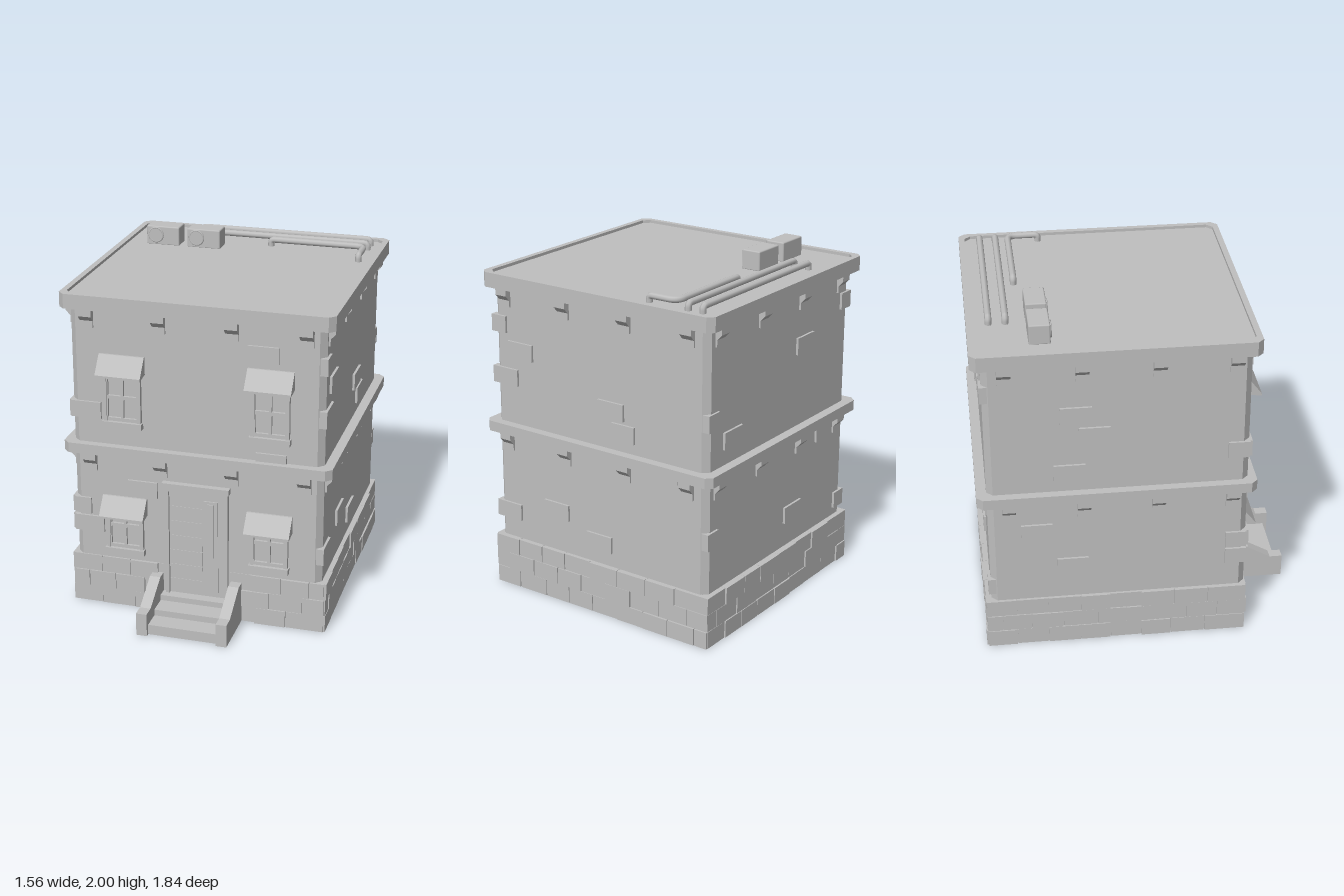
import * as THREE from 'three';
import { RoundedBoxGeometry } from 'three/addons/geometries/RoundedBoxGeometry.js';

const stone = new THREE.MeshStandardMaterial({ color: 0xbfbfbf });
stone.name = 'pale grey';

function add(parent, name, geometry, x = 0, y = 0, z = 0) {
  const mesh = new THREE.Mesh(geometry, stone);
  mesh.name = name;
  mesh.position.set(x, y, z);
  parent.add(mesh);
  return mesh;
}

// Box given by its limits on each axis
function block(parent, name, x0, x1, y0, y1, z0, z1) {
  return add(parent, name, new THREE.BoxGeometry(x1 - x0, y1 - y0, z1 - z0),
    (x0 + x1) / 2, (y0 + y1) / 2, (z0 + z1) / 2);
}

const polygon = (points) => new THREE.Shape(points.map(([x, y]) => new THREE.Vector2(x, y)));

// Square with cut corners
function cutSquare(h, c) {
  const k = h - c;
  return polygon([[-k, -h], [k, -h], [h, -k], [h, k], [k, h], [-k, h], [-h, k], [-h, -k]]);
}

// Plan shape raised from y0 to y1
function slab(shape, y0, y1) {
  return new THREE.ExtrudeGeometry(shape, { depth: y1 - y0, bevelEnabled: false })
    .rotateX(-Math.PI / 2).translate(0, y0, 0);
}

// Side profile in (z, y) extruded across x, centred
function sideProfile(points, width) {
  return new THREE.ExtrudeGeometry(polygon(points), { depth: width, bevelEnabled: false })
    .translate(0, 0, -width / 2).rotateY(-Math.PI / 2);
}

let seed = 7;
function random() {
  seed = (seed * 16807) % 2147483647;
  return seed / 2147483647;
}

// Four groups, one per side, each with local +z pointing outwards
function sides(parent, name, x, z) {
  return ['Front', 'Right', 'Back', 'Left'].map((side, i) => {
    const group = new THREE.Group();
    group.name = name + side;
    group.position.set(x, 0, z);
    group.rotation.y = i * Math.PI / 2;
    parent.add(group);
    return group;
  });
}

function buildWindow(parent, x, sillY, awningY) {
  const group = new THREE.Group();
  group.name = 'window';
  group.position.set(x, 0, 0.595);
  parent.add(group);
  const y0 = sillY + 0.035, y1 = awningY + 0.05, mid = sillY + 0.18;
  // Frame with four panes
  const shape = polygon([[-0.108, y0], [0.108, y0], [0.108, y1], [-0.108, y1]]);
  for (const [a, b] of [[-0.084, -0.008], [0.008, 0.084]]) {
    for (const [c, d] of [[y0 + 0.02, mid - 0.007], [mid + 0.007, awningY - 0.025]]) {
      shape.holes.push(polygon([[a, c], [a, d - 0.01], [a + 0.01, d], [b - 0.01, d],
        [b, d - 0.01], [b, c]]));
    }
  }
  add(group, 'windowFrame', new THREE.ExtrudeGeometry(shape, { depth: 0.016, bevelEnabled: false }));
  for (const s of [-1, 1]) block(group, 'windowJamb', s * 0.1 - 0.01, s * 0.1 + 0.01, y0, y1, 0, 0.024);
  block(group, 'windowSill', -0.117, 0.117, sillY, y0, -0.01, 0.037);
  // Sloping awning
  add(group, 'awning', sideProfile([[0, awningY + 0.01], [0.09, awningY], [0.09, awningY + 0.012],
    [0.012, awningY + 0.113], [0, awningY + 0.113]], 0.264));
}

// Pipe through points with rounded corners
function pipe(parent, points, bends) {
  const p = points.map((a) => new THREE.Vector3(...a));
  const path = new THREE.CurvePath();
  let from = p[0];
  for (let i = 1; i < p.length - 1; i++) {
    const r = bends[i - 1];
    const a = p[i].clone().add(p[i - 1].clone().sub(p[i]).setLength(r));
    const b = p[i].clone().add(p[i + 1].clone().sub(p[i]).setLength(r));
    path.add(new THREE.LineCurve3(from, a));
    path.add(new THREE.QuadraticBezierCurve3(a, p[i], b));
    from = b;
  }
  path.add(new THREE.LineCurve3(from, p[p.length - 1]));
  const tube = new THREE.TubeGeometry(path, 90, 0.019, 8, false);
  add(parent, 'roofPipe', tube);
}

export function createModel() {
  const model = new THREE.Group();
  model.name = 'townHouse';

  // Walls with cut corners
  add(model, 'walls', slab(cutSquare(0.73, 0.035), 0.02, 1.86), -0.004, 0, -0.135);

  // Ledge, cornice with raised rim, and roof deck
  add(model, 'floorLedge', slab(cutSquare(0.782, 0.035), 0.96, 1.02), -0.002, 0, -0.14);
  add(model, 'roofDeck', slab(cutSquare(0.77, 0.035), 1.82, 1.888), -0.002, 0, -0.14);
  const rim = cutSquare(0.782, 0.035);
  rim.holes.push(cutSquare(0.748, 0.035));
  add(model, 'cornice', slab(rim, 1.82, 1.905), -0.002, 0, -0.14);

  // Stone footing: core and three courses of uneven blocks
  add(model, 'footing', new THREE.BoxGeometry(1.49, 0.303, 1.49), 0, 0.1515, -0.147);
  sides(model, 'footing', 0, -0.147).forEach((side, i) => {
    for (let row = 0; row < 3; row++) {
      let u = -0.748;
      let width = row % 2 ? 0.09 : 0.17;
      while (u < 0.74) {
        const end = u + width > 0.68 ? 0.748 : u + width;
        const out = 0.748 + random() * 0.012;
        if (i || end < -0.17 || u > 0.17) {
          block(side, 'footingBlock', u + 0.002, end - 0.002, row * 0.102,
            row * 0.102 + 0.1, 0.72, out);
        }
        u = end;
        width = 0.16 + random() * 0.04;
      }
    }
  });

  // Loose bricks [centre across, centre height] and eave brackets on each side
  const bricks = [
    [[0.385, 1.645], [-0.643, 1.22], [-0.318, 0.763], [-0.68, 0.622, 0.1], [-0.643, 0.51],
      [0.434, 1.02]],
    [[-0.685, 1.605, 0.1], [-0.537, 1.465], [-0.647, 1.3], [0.098, 1.248], [0.182, 1.132, 0.155],
      [-0.295, 0.555], [0.008, 0.435], [-0.647, 0.47], [0.462, 0.965]],
    [[0.24, 1.5], [-0.49, 1.16], [-0.68, 1.3, 0.1], [0.15, 0.5], [-0.68, 0.62, 0.1],
      [0.48, 0.9], [0.68, 1.65, 0.1], [0.68, 0.4, 0.1]],
    [[-0.23, 1.5], [-0.13, 1.37], [-0.27, 1.14], [-0.46, 0.76], [-0.26, 0.52],
      [0.67, 1.22, 0.12], [0.67, 0.51, 0.12], [0.67, 0.622, 0.12]],
  ];
  const bracket = sideProfile([[0, 0], [0.012, 0], [0.012, 0.04], [0.04, 0.07],
    [0.04, 0.115], [0, 0.115]], 0.075);
  sides(model, 'facade', -0.004, -0.135).forEach((side, i) => {
    for (const [u, y, w = 0.176] of bricks[i]) {
      block(side, 'brick', u - w / 2, u + w / 2, y - 0.049, y + 0.049, 0.7, 0.744);
    }
    const shift = [0, -0.016, 0, 0.016][i];
    for (const y of [0.85, 1.71]) {
      for (let k = 0; k < 4; k++) {
        add(side, 'eaveBracket', bracket, -0.626 + k * 0.4175 + shift, y, 0.729);
      }
    }
  });

  // Windows with awnings
  for (const x of [-0.43, 0.425]) {
    buildWindow(model, x, 1.135, 1.45);
    buildWindow(model, x, 0.345, 0.588);
  }

  // Planked door, frame and lintel
  const door = new THREE.Group();
  door.name = 'door';
  model.add(door);
  block(door, 'doorPanel', -0.17, 0.17, 0.1, 0.79, 0.58, 0.6);
  for (let k = 0; k < 7; k++) {
    block(door, 'doorPlank', -0.163, 0.03, 0.135 + k * 0.092, 0.222 + k * 0.092, 0.59, 0.603);
  }
  block(door, 'doorStrip', 0.04, 0.125, 0.16, 0.735, 0.59, 0.609);
  block(door, 'doorHandleBar', 0.064, 0.1, 0.18, 0.72, 0.6, 0.616);
  for (const s of [-1, 1]) {
    block(door, 'doorJamb', s * 0.175 - 0.011, s * 0.175 + 0.011, 0.1, 0.79, 0.58, 0.618);
  }
  block(door, 'doorHead', -0.186, 0.182, 0.775, 0.795, 0.58, 0.618);
  block(door, 'doorLintel', -0.2, 0.195, 0.795, 0.83, 0.58, 0.632);

  // Steps between sloping side walls
  const stairs = new THREE.Group();
  stairs.name = 'stairs';
  model.add(stairs);
  block(stairs, 'lowerStep', -0.21, 0.205, 0, 0.06, 0.59, 0.895);
  block(stairs, 'upperStep', -0.21, 0.205, 0.06, 0.097, 0.59, 0.78);
  block(stairs, 'threshold', -0.21, 0.205, 0.097, 0.13, 0.59, 0.66);
  const cheek = sideProfile([[0.59, 0], [0.92, 0], [0.92, 0.137], [0.845, 0.137],
    [0.66, 0.245], [0.59, 0.245]], 0.063);
  for (const x of [-0.237, 0.232]) add(stairs, 'stairSideWall', cheek, x);

  // Rooftop cooling units with round fans
  for (const x of [-0.532, -0.277]) {
    const unit = new THREE.Group();
    unit.name = 'coolingUnit';
    unit.position.set(x, 1.942, -0.54);
    model.add(unit);
    add(unit, 'unitCase', new RoundedBoxGeometry(0.205, 0.116, 0.118, 1, 0.008));
    add(unit, 'fanRing', new THREE.TorusGeometry(0.043, 0.006, 6, 20), -0.043, 0.005, 0.061);
    add(unit, 'fanCover', new THREE.CylinderGeometry(0.042, 0.042, 0.012, 20).rotateX(Math.PI / 2),
      -0.043, 0.005, 0.06);
  }

  // Rooftop pipes
  const top = 1.927, low = 1.88;
  for (const z of [-0.8, -0.708]) {
    pipe(model, [[-0.372, low, z], [-0.372, top, z], [0.682, top, z], [0.682, low, z]], [0.02, 0.02]);
  }
  pipe(model, [[0.105, low, -0.635], [0.105, top, -0.635], [0.677, top, -0.635],
    [0.677, top, -0.455], [0.677, low, -0.455]], [0.02, 0.06, 0.02]);

  return model;
}
